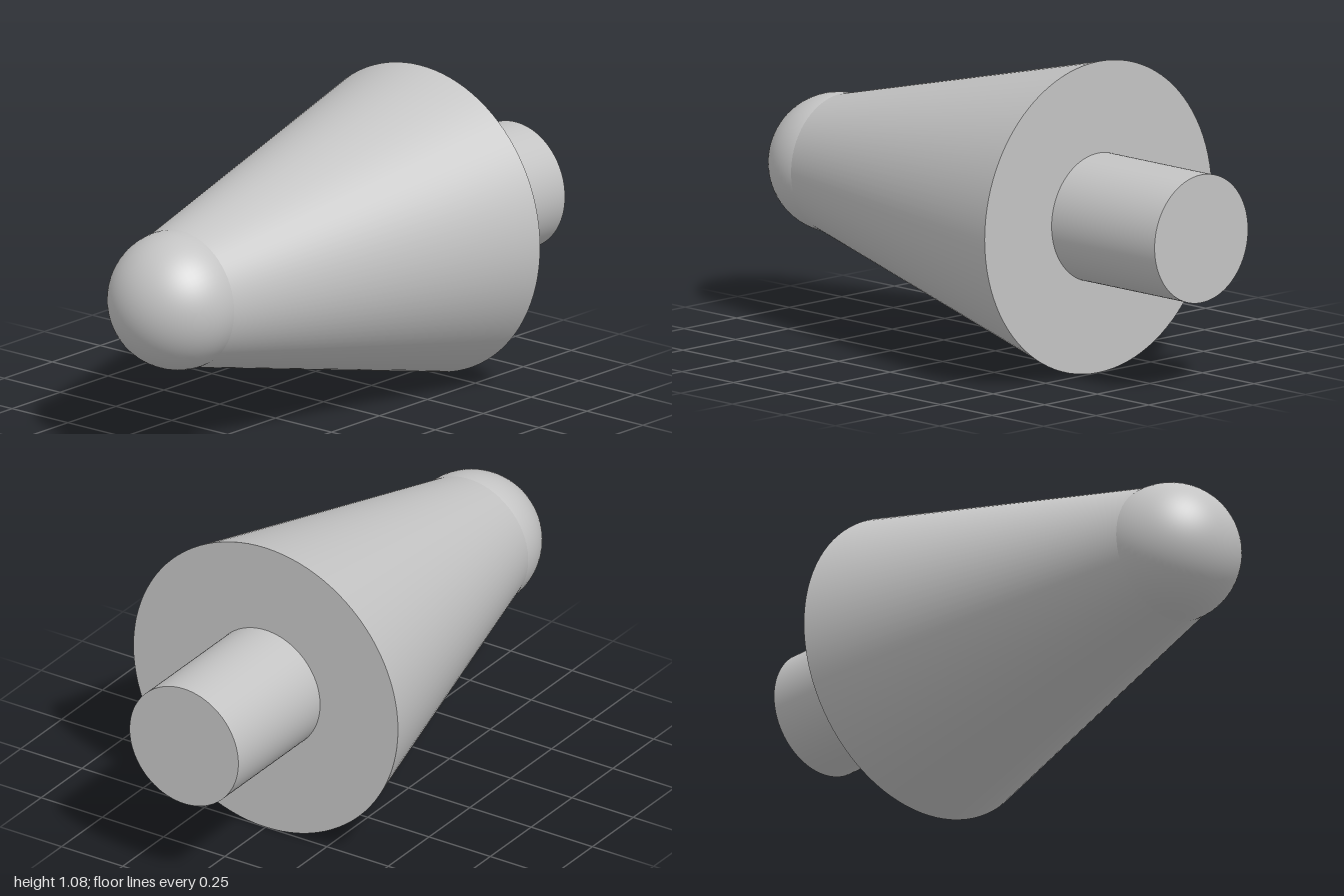
import * as THREE from 'three';

export function createModel() {
  const group = new THREE.Group();
  const grey = new THREE.MeshStandardMaterial({ color: 0xc4c4c4 });
  grey.name = 'plain grey';
  const axisY = 0.54;

  function add(name, geometry, z) {
    const mesh = new THREE.Mesh(geometry, grey);
    mesh.name = name;
    mesh.position.set(0, axisY, z);
    group.add(mesh);
  }

  // Truncated cone or cylinder lying along z, between two depths
  function barrel(name, backZ, frontZ, backRadius, frontRadius) {
    const geometry = new THREE.CylinderGeometry(frontRadius, backRadius, frontZ - backZ, 96);
    geometry.rotateX(Math.PI / 2);
    add(name, geometry, (backZ + frontZ) / 2);
  }

  // Tapered body and the rear shaft
  barrel('taperedBody', -0.5, 0.76, 0.54, 0.237);
  barrel('rearShaft', -1, -0.5, 0.222, 0.222);

  // Rounded nose, slightly proud of the body's small end
  const nose = new THREE.SphereGeometry(0.241, 64, 40);
  nose.rotateX(Math.PI / 2);
  add('roundNose', nose, 0.759);

  return group;
}
